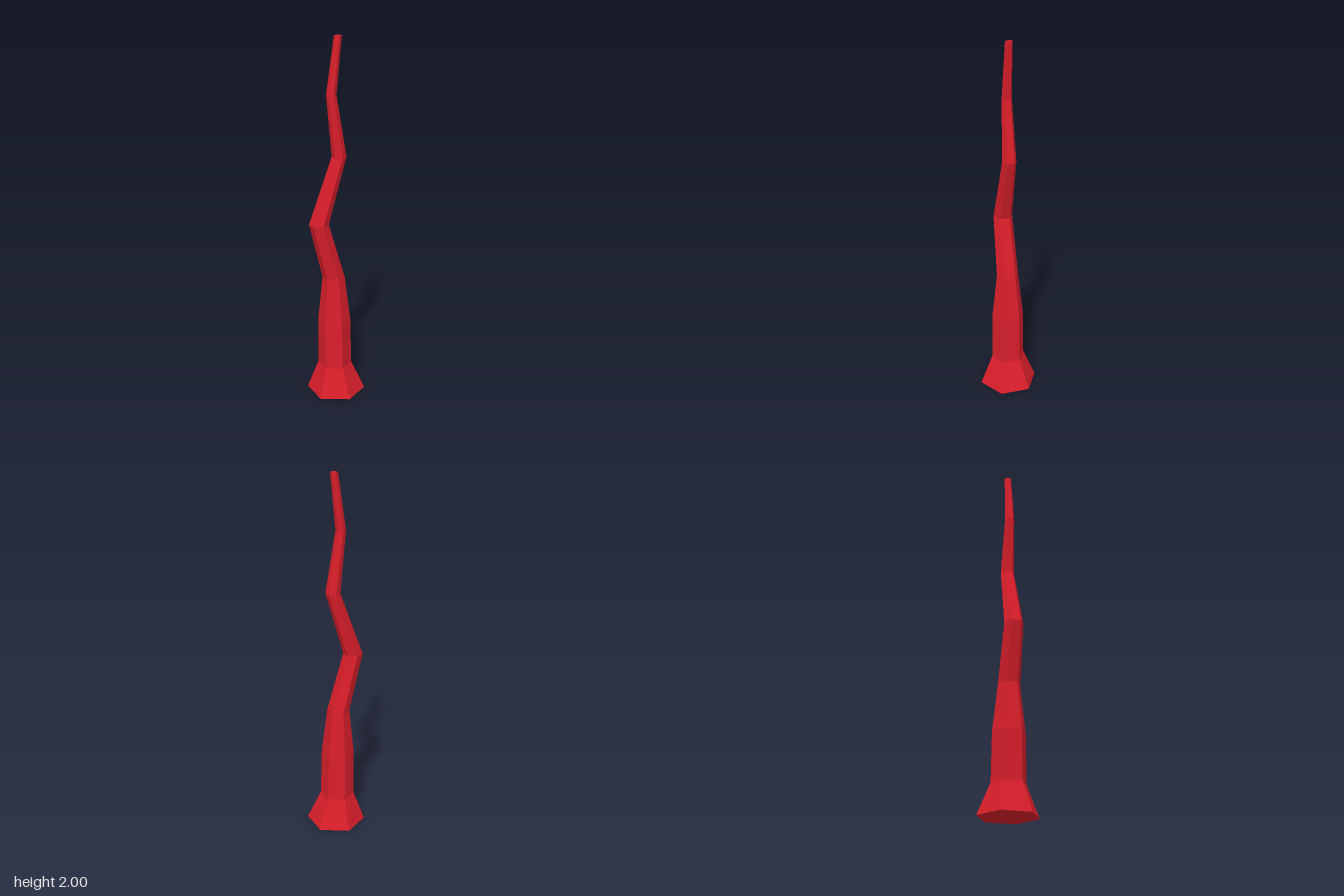
import * as THREE from 'three';

// Rings of the crooked stem, bottom to top: [height, x offset, radius]
const RINGS = [
  [0, 0.003, 0.163],
  [0.165, -0.005, 0.094],
  [0.43, -0.008, 0.09],
  [0.69, -0.012, 0.061],
  [1.01, -0.101, 0.053],
  [1.37, 0.021, 0.039],
  [1.7, -0.025, 0.027],
  [2, 0.013, 0.02],
];

export function createModel() {
  const group = new THREE.Group();
  group.name = 'crookedStem';

  // Unit hexagonal prism, one height segment per gap between rings
  const gaps = RINGS.length - 1;
  const geometry = new THREE.CylinderGeometry(1, 1, gaps, 6, gaps);
  const pos = geometry.attributes.position;

  // Move each ring to its height, offset and radius
  for (let i = 0; i < pos.count; i++) {
    const [y, x, r] = RINGS[Math.round(pos.getY(i) + gaps / 2)];
    pos.setXYZ(i, x + pos.getX(i) * r, y, pos.getZ(i) * r);
  }
  geometry.computeVertexNormals();

  const material = new THREE.MeshStandardMaterial({ color: 0xd81e2a, flatShading: true });
  const stem = new THREE.Mesh(geometry, material);
  stem.name = 'stem';
  group.add(stem);
  return group;
}
